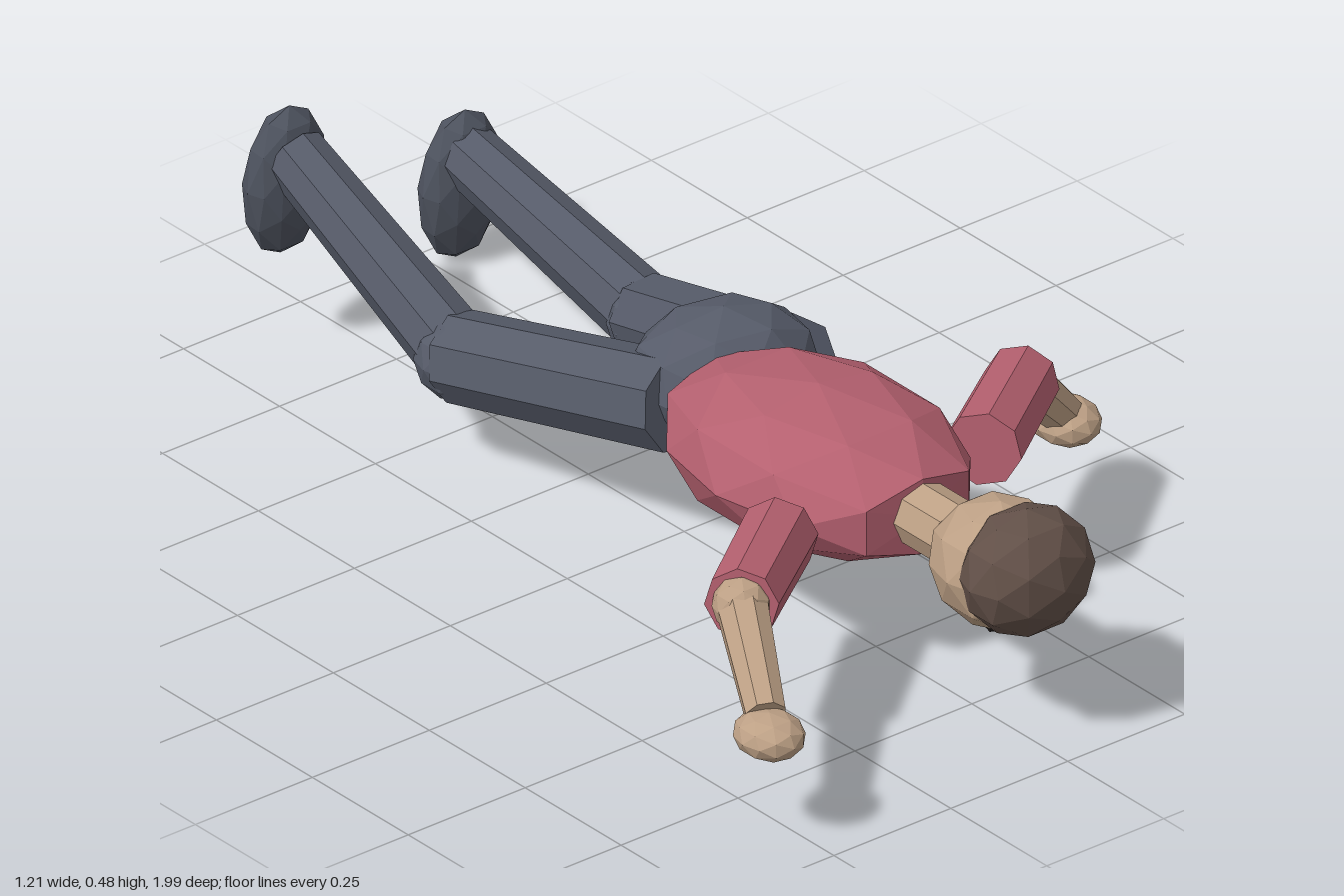
import * as THREE from 'three';

const mat = (name, color) => {
  const m = new THREE.MeshStandardMaterial({ color, flatShading: true });
  m.name = name;
  return m;
};

export function createModel() {
  const skin = mat('skin', 0xbda085);
  const shirt = mat('shirt red', 0xb4606f);
  const trousers = mat('trouser slate', 0x565b69);
  const shoe = mat('shoe slate', 0x4e535f);
  const hairBrown = mat('hair brown', 0x625048);
  const eyeDark = mat('eye dark', 0x2a2422);
  const group = new THREE.Group();
  group.name = 'lyingFigure';

  const add = (name, geometry, material) => {
    const mesh = new THREE.Mesh(geometry, material);
    mesh.name = name;
    group.add(mesh);
    return mesh;
  };

  // Faceted ellipsoid
  const blob = (name, material, pos, radii, detail = 1) => {
    const g = new THREE.IcosahedronGeometry(1, detail);
    g.scale(...radii);
    const mesh = add(name, g, material);
    mesh.position.set(...pos);
    return mesh;
  };

  // Eight-sided tapered limb from a to b
  const limb = (name, material, a, b, ra, rb) => {
    const start = new THREE.Vector3(...a), end = new THREE.Vector3(...b);
    const dir = end.clone().sub(start);
    const mesh = add(name, new THREE.CylinderGeometry(rb, ra, dir.length(), 8), material);
    mesh.position.copy(start).add(end).multiplyScalar(0.5);
    mesh.quaternion.setFromUnitVectors(new THREE.Vector3(0, 1, 0), dir.normalize());
    return mesh;
  };

  // Torso with flattened ends, and hips
  const torso = blob('torso', shirt, [0, 0.3, 0.35], [0.22, 0.135, 0.32]);
  const p = torso.geometry.attributes.position;
  for (let i = 0; i < p.count; i++) p.setZ(i, THREE.MathUtils.clamp(p.getZ(i), -0.275, 0.275));
  torso.geometry.computeVertexNormals();
  blob('hips', trousers, [0.06, 0.3, 0.03], [0.17, 0.12, 0.14]).rotation.y = -0.2;

  // Neck, head, hair and the eyes on the downward face
  limb('neck', skin, [0, 0.305, 0.58], [0, 0.305, 0.75], 0.058, 0.058);
  blob('head', skin, [0, 0.303, 0.825], [0.115, 0.115, 0.13]);
  blob('hair', hairBrown, [0, 0.318, 0.893], [0.122, 0.115, 0.1]);
  for (const s of [-1, 1]) blob('eye', eyeDark, [s * 0.038, 0.205, 0.85], [0.012, 0.01, 0.012], 0);

  // Arms
  const arms = [
    { side: 'left', shoulder: [0.22, 0.3, 0.51], elbow: [0.44, 0.282, 0.345], wrist: [0.535, 0.18, 0.335], hand: [0.545, 0.162, 0.33] },
    { side: 'right', shoulder: [-0.215, 0.295, 0.51], elbow: [-0.435, 0.315, 0.68], wrist: [-0.535, 0.22, 0.865], hand: [-0.548, 0.2, 0.89] },
  ];
  for (const a of arms) {
    limb(a.side + 'UpperArm', shirt, a.shoulder, a.elbow, 0.067, 0.064);
    blob(a.side + 'Elbow', skin, a.elbow, [0.05, 0.05, 0.05]);
    limb(a.side + 'Forearm', skin, a.elbow, a.wrist, 0.046, 0.036);
    blob(a.side + 'Hand', skin, a.hand, [0.058, 0.041, 0.066]);
  }

  // Legs
  const legs = [
    { side: 'left', hip: [0.18, 0.28, 0.06], knee: [0.28, 0.115, -0.425], ankle: [0.293, 0.21, -0.92], foot: [0.295, 0.145, -0.943] },
    { side: 'right', hip: [-0.055, 0.285, 0.05], knee: [-0.132, 0.195, -0.425], ankle: [-0.132, 0.39, -0.855], foot: [-0.132, 0.333, -0.88] },
  ];
  for (const l of legs) {
    limb(l.side + 'Thigh', trousers, l.hip, l.knee, 0.085, 0.08);
    blob(l.side + 'Knee', trousers, l.knee, [0.077, 0.077, 0.077]);
    limb(l.side + 'Shin', trousers, l.knee, l.ankle, 0.067, 0.055);
    blob(l.side + 'Foot', shoe, l.foot, [0.08, 0.145, 0.055]).rotation.x = 0.08;
  }

  return group;
}
